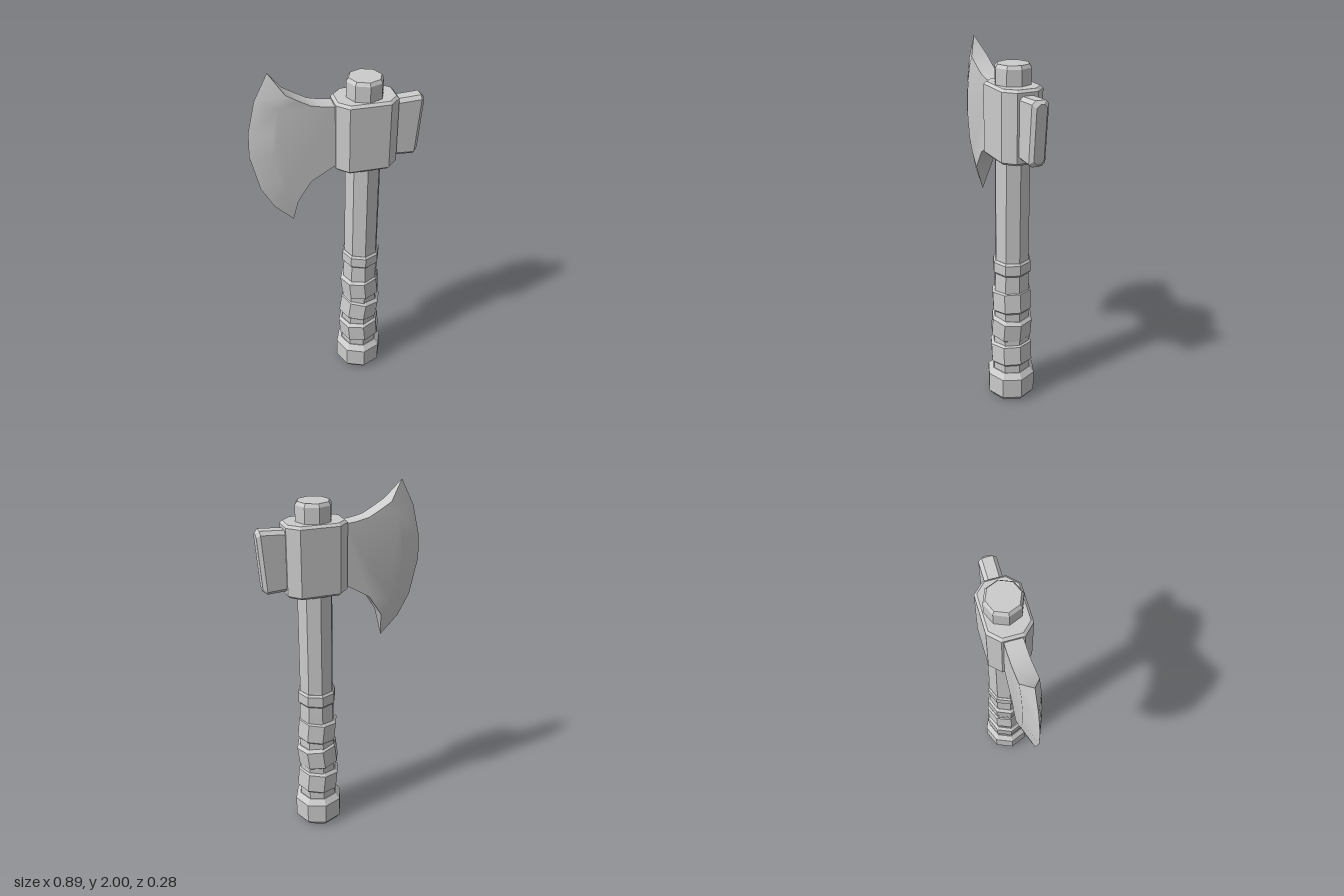
import * as THREE from 'three';
import { toCreasedNormals } from 'three/addons/utils/BufferGeometryUtils.js';

const steel = new THREE.MeshStandardMaterial({ color: 0xcccccc });
steel.name = 'light grey';

const AXIS_X = 0.14; // handle axis

function addMesh(parent, name, geometry) {
  const mesh = new THREE.Mesh(geometry, steel);
  mesh.name = name;
  parent.add(mesh);
  return mesh;
}

// Flat-shaded geometry from triangles of Vector3 corners
function fromTriangles(points) {
  const g = new THREE.BufferGeometry().setFromPoints(points);
  g.computeVertexNormals();
  return g;
}

// Eight-sided turned part; profile is [radius, y] from bottom to top
function turned(profile) {
  const g = new THREE.LatheGeometry(profile.map(([r, y]) => new THREE.Vector2(r, y)), 8).toNonIndexed();
  g.computeVertexNormals();
  return g;
}

// Solid turned band with chamfered rims
function bandProfile(r, y0, y1, inset, c) {
  return [[0, y0], [r - inset, y0], [r, y0 + c], [r, y1 - c], [r - inset, y1], [0, y1]];
}

// Rectangle with cut corners, counter-clockwise in (u, v)
function cutRect(a, b, c) {
  return [[a, c - b], [a, b - c], [a - c, b], [c - a, b], [-a, b - c], [-a, c - b], [c - a, -b], [a - c, -b]];
}

// Skin convex rings of equal count and cap both ends
function loft(rings) {
  const t = [];
  const n = rings[0].length;
  for (let k = 0; k < rings.length - 1; k++) {
    for (let i = 0; i < n; i++) {
      const j = (i + 1) % n, a = rings[k], b = rings[k + 1];
      t.push(a[i], a[j], b[j], a[i], b[j], b[i]);
    }
  }
  const first = rings[0], last = rings[rings.length - 1];
  for (let i = 1; i < n - 1; i++) {
    t.push(first[0], first[i + 1], first[i], last[0], last[i], last[i + 1]);
  }
  return fromTriangles(t);
}

// Blade: thick cheek narrowing to a sharp curved edge
function bladeGeometry() {
  const H = 0.046;
  const top = [[0, 1.808], [-0.07, 1.815], [-0.14, 1.83], [-0.2, 1.863]];
  const shoulder = [[-0.262, 1.9], [-0.3, 1.83], [-0.327, 1.7], [-0.335, 1.58], [-0.312, 1.44], [-0.277, 1.365], [-0.22, 1.29]];
  const bottom = [[-0.15, 1.4], [-0.02, 1.48], [0, 1.49]];
  const edge = [[-0.335, 2], [-0.405, 1.865], [-0.445, 1.7], [-0.45, 1.57], [-0.405, 1.37], [-0.34, 1.25], [-0.24, 1.15]];
  const cheek = [...top, ...shoulder, ...bottom]; // counter-clockwise from the front
  const at = ([x, y], z) => new THREE.Vector3(x, y, z);
  const t = [];
  const outline = cheek.map(([x, y]) => new THREE.Vector2(x, y));
  for (const [a, b, c] of THREE.ShapeUtils.triangulateShape(outline, [])) {
    t.push(at(cheek[a], H), at(cheek[b], H), at(cheek[c], H));
    t.push(at(cheek[a], -H), at(cheek[c], -H), at(cheek[b], -H));
  }
  // upper and lower walls
  const wall = (line) => {
    for (let i = 0; i < line.length - 1; i++) {
      const a = line[i], b = line[i + 1];
      t.push(at(a, H), at(a, -H), at(b, -H), at(a, H), at(b, -H), at(b, H));
    }
  };
  const end = shoulder.length - 1;
  wall([...top, shoulder[0]]);
  wall([shoulder[end], ...bottom]);
  // ground faces running out to the cutting edge
  for (let i = 0; i < end; i++) {
    const a = shoulder[i], b = shoulder[i + 1], p = edge[i], q = edge[i + 1];
    t.push(at(a, H), at(p, 0), at(q, 0), at(a, H), at(q, 0), at(b, H));
    t.push(at(a, -H), at(q, 0), at(p, 0), at(a, -H), at(b, -H), at(q, 0));
  }
  // horn ends
  t.push(at(shoulder[0], H), at(shoulder[0], -H), at(edge[0], 0));
  t.push(at(shoulder[end], -H), at(shoulder[end], H), at(edge[end], 0));
  return toCreasedNormals(fromTriangles(t), 0.5);
}

export function createModel() {
  const model = new THREE.Group();
  model.name = 'axe';

  // Handle and its turned fittings
  const handle = new THREE.Group();
  handle.name = 'handle';
  handle.position.x = AXIS_X;
  model.add(handle);
  addMesh(handle, 'shaft', turned([[0, 0.1], [0.108, 0.1], [0.108, 0.22], [0.1, 0.75], [0.096, 0.9],
    [0.096, 1.915], [0.084, 1.932], [0, 1.932]]));
  addMesh(handle, 'pommel', turned([[0, 0], [0.118, 0], [0.14, 0.028], [0.14, 0.148], [0.112, 0.18], [0, 0.18]]));
  addMesh(handle, 'collar', turned(bandProfile(0.108, 0.798, 0.88, 0.01, 0.012)));

  // Tilted grip wraps: radius, centre height, height, tilt
  [[0.122, 0.29, 0.142, 0.1], [0.118, 0.46, 0.142, -0.12], [0.113, 0.627, 0.142, 0.1]].forEach(([r, y, h, tilt], i) => {
    const wrap = addMesh(handle, `gripWrap${i + 1}`, turned(bandProfile(r, -h / 2, h / 2, 0.018, 0.016)));
    wrap.position.y = y;
    wrap.rotation.z = tilt;
  });

  // Eight-sided head block with chamfered rims
  const headRing = (y, inset) => cutRect(0.113 - inset, 0.161 - inset, 0.057 - inset * 0.5)
    .map(([z, x]) => new THREE.Vector3(AXIS_X + x, y, z));
  addMesh(model, 'headBlock', loft([headRing(1.455, 0.013), headRing(1.468, 0), headRing(1.82, 0), headRing(1.833, 0.013)]));

  // Slanted poll at the back of the head
  const pollRing = (x, a, b, slant) => cutRect(a, b, 0.018)
    .map(([y, z]) => new THREE.Vector3(x + y * slant, 1.645 + y, z));
  addMesh(model, 'poll', loft([pollRing(0.29, 0.158, 0.045, 0), pollRing(0.413, 0.165, 0.045, 0.075),
    pollRing(0.432, 0.149, 0.028, 0.075)]));

  addMesh(model, 'blade', bladeGeometry());
  return model;
}
